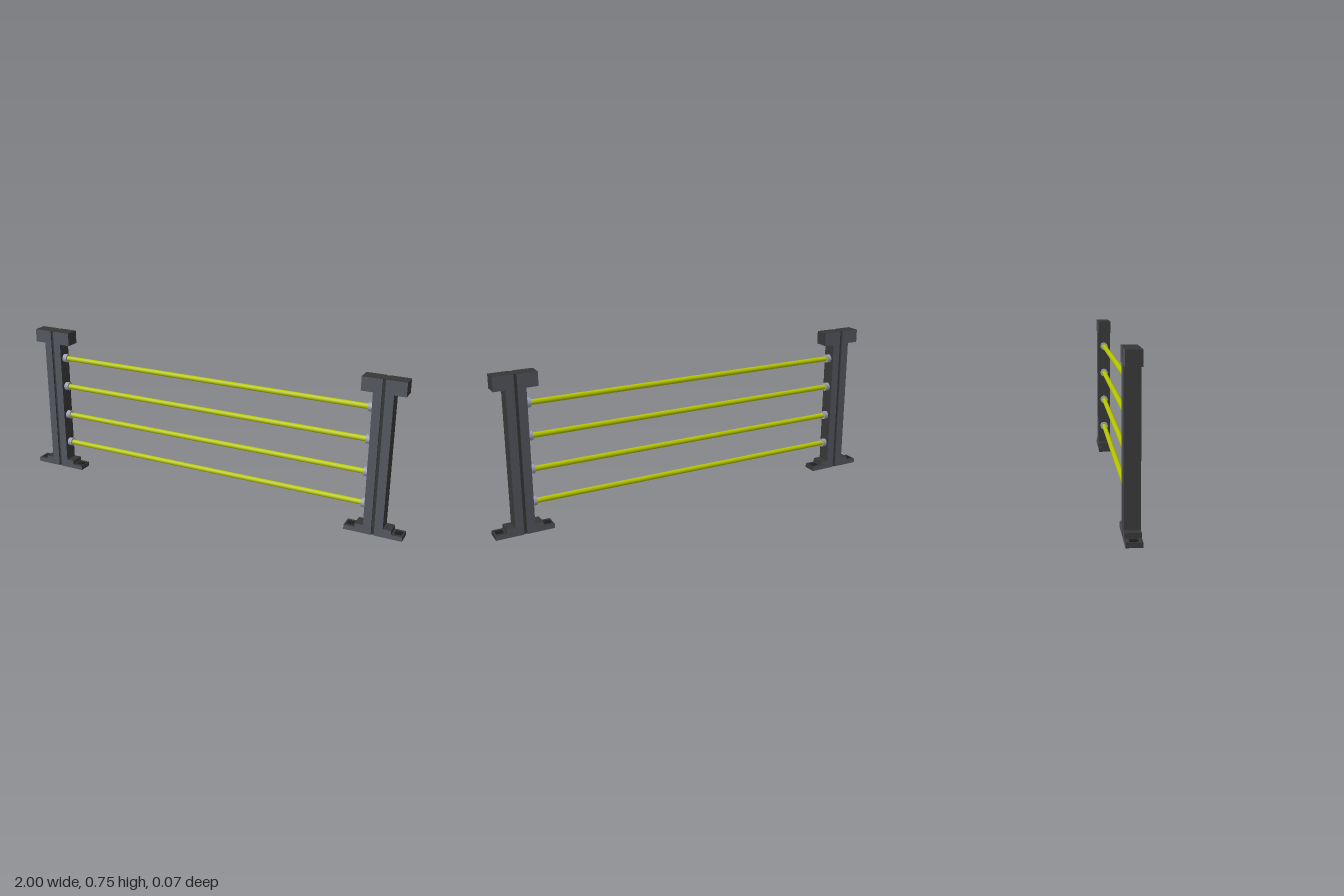
import * as THREE from 'three';

const mat = (name, color) => {
  const m = new THREE.MeshStandardMaterial({ color });
  m.name = name;
  return m;
};

export function createModel() {
  const slate = mat('slate', 0x53565f);
  const charcoal = mat('charcoal', 0x363636);
  const black = mat('black', 0x1c1c1e);
  const lime = mat('lime', 0xb4c400);
  const silver = mat('silver', 0x9a9dab);

  const model = new THREE.Group();
  model.name = 'railFence';
  const add = (parent, name, geometry, material, x = 0, y = 0, z = 0) => {
    const m = new THREE.Mesh(geometry, material);
    m.name = name;
    m.position.set(x, y, z);
    parent.add(m);
    return m;
  };

  const H = 0.745, D = 0.068, postX = 0.863, gap = 0.007;

  // Half of the post outline: stepped foot, shaft and cap
  const outline = [
    [gap, 0], [0.137, 0], [0.137, 0.022], [0.085, 0.022], [0.085, 0.042], [0.046, 0.042],
    [0.046, 0.68], [0.1, 0.68], [0.1, H], [gap, H],
  ];
  const halfPost = (s) => {
    const pts = outline.map(([x, y]) => new THREE.Vector2(s * x, y));
    const g = new THREE.ExtrudeGeometry(new THREE.Shape(pts), { depth: D, bevelEnabled: false });
    return g.translate(0, 0, -D / 2);
  };

  for (const side of [-1, 1]) {
    const post = new THREE.Group();
    post.name = side > 0 ? 'leftPost' : 'rightPost';
    post.position.x = side * postX;
    model.add(post);

    for (const s of [-1, 1]) {
      add(post, 'postHalf', halfPost(s), [slate, charcoal]);
      // Bolt holes above and below each foot
      for (const y of [0.0005, 0.0222])
        add(post, 'boltHole', new THREE.BoxGeometry(0.034, 0.002, 0.036), black, s * 0.112, y + (y < 0.01 ? 0.0004 : 0));
    }
    // Recessed core forms the groove on front and back
    add(post, 'grooveCore', new THREE.BoxGeometry(gap * 2, H, D - 0.014), charcoal, 0, H / 2);
  }

  // Four rails, each held by a collar at both ends
  for (const y of [0.138, 0.293, 0.45, 0.602]) {
    const rail = new THREE.CylinderGeometry(0.0125, 0.0125, 1.63, 20).rotateZ(Math.PI / 2);
    add(model, 'rail', rail, lime, 0, y);
    for (const s of [-1, 1]) {
      const collar = new THREE.CylinderGeometry(0.021, 0.021, 0.024, 20).rotateZ(Math.PI / 2);
      add(model, 'collar', collar, silver, s * 0.807, y);
    }
  }
  return model;
}
